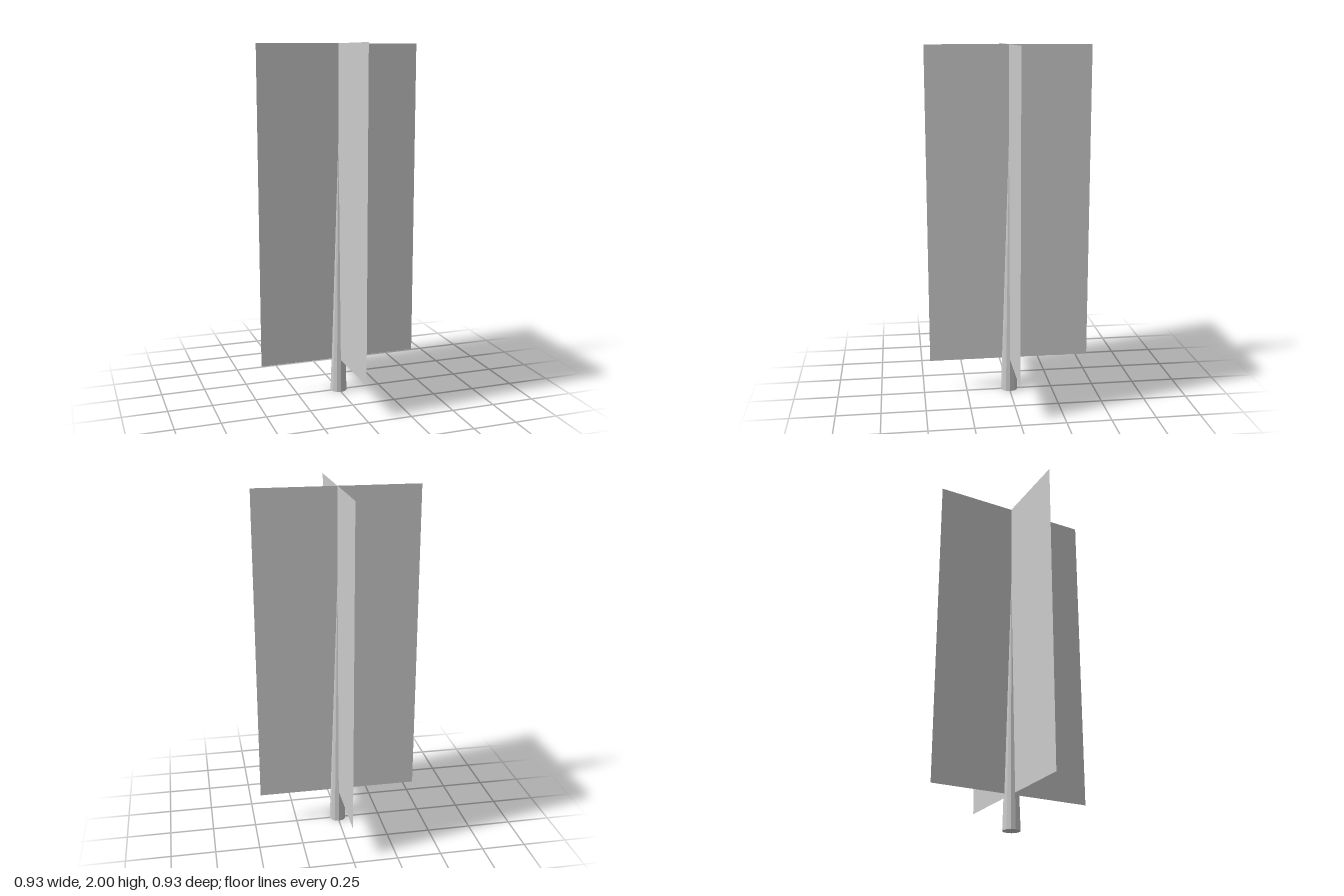
import * as THREE from 'three';

export function createModel() {
  const group = new THREE.Group();
  group.name = 'crossedPlaneTree';

  // Tapered trunk, closed at the base
  const trunkHeight = 1.5;
  const trunk = new THREE.Mesh(
    new THREE.ConeGeometry(0.048, trunkHeight, 12),
    new THREE.MeshStandardMaterial({ color: 0xcccccc, flatShading: true })
  );
  trunk.name = 'trunk';
  trunk.position.y = trunkHeight / 2;
  group.add(trunk);

  // Two upright foliage cards crossing at right angles
  const bottom = 0.195, top = 2;
  const cardGeometry = new THREE.PlaneGeometry(0.927, top - bottom);
  const cardMaterial = new THREE.MeshStandardMaterial({ color: 0xcccccc, side: THREE.DoubleSide });
  ['foliageCardAcross', 'foliageCardDeep'].forEach((name, i) => {
    const card = new THREE.Mesh(cardGeometry, cardMaterial);
    card.name = name;
    card.position.y = (bottom + top) / 2;
    card.rotation.y = i * Math.PI / 2;
    group.add(card);
  });

  return group;
}
